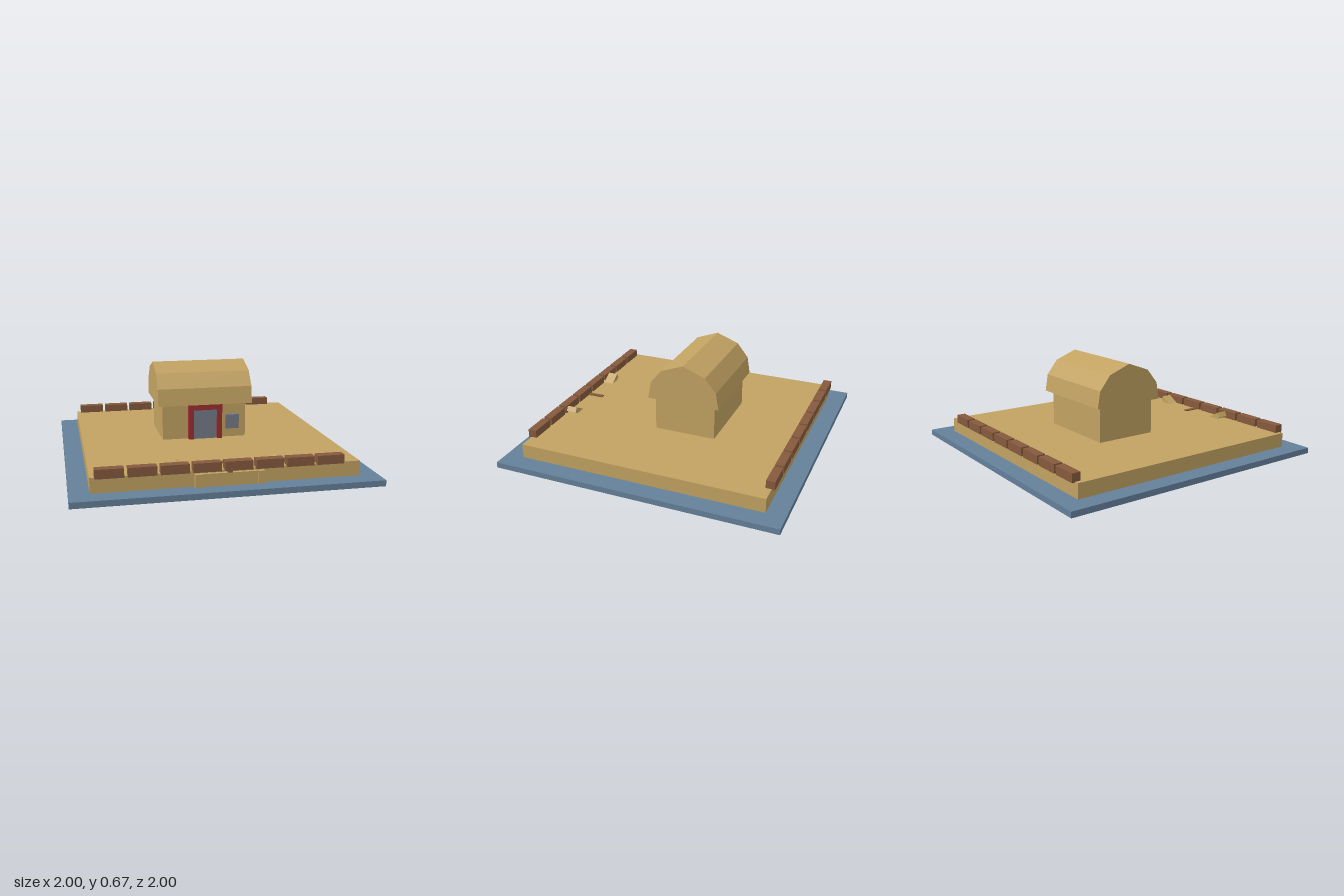
import * as THREE from 'three';

const mat = (name, color) => {
  const m = new THREE.MeshStandardMaterial({ color });
  m.name = name;
  return m;
};

export function createModel() {
  const sand = mat('sandstone', 0xc2a262);
  const water = mat('water blue', 0x64809a);
  const brick = mat('brown brick', 0x855a3d);
  const red = mat('door red', 0x9c3030);
  const slate = mat('slate grey', 0x767b87);
  const model = new THREE.Group();

  const add = (name, geometry, material) => {
    const mesh = new THREE.Mesh(geometry, material);
    mesh.name = name;
    model.add(mesh);
    return mesh;
  };
  // Box given by its minimum and maximum corners
  const box = (name, material, x0, x1, y0, y1, z0, z1) => {
    const mesh = add(name, new THREE.BoxGeometry(x1 - x0, y1 - y0, z1 - z0), material);
    mesh.position.set((x0 + x1) / 2, (y0 + y1) / 2, (z0 + z1) / 2);
    return mesh;
  };

  // Ground
  box('waterBase', water, -1, 1, 0, 0.04, -1, 1);
  box('island', sand, -0.87, 0.87, 0.04, 0.14, -0.87, 0.87);

  // Low broken walls along front and back
  for (const z of [-0.86, 0.86]) {
    for (let i = 0; i < 8; i++) {
      const x = -0.84 + i * 0.202;
      box('wallBlock', brick, x, x + 0.18, 0.135, 0.195, z - 0.03, z + 0.03);
    }
  }

  // House body
  box('houseWalls', sand, -0.305, 0.3, 0.14, 0.39, -0.32, 0.12);

  // Gambrel-like rounded roof, profile as (z, y) extruded along x
  const half = [[0.26, 0.39], [0.24, 0.51], [0.16, 0.61]];
  const profile = [...half, [0, 0.67], ...half.map(([z, y]) => [-z, y]).reverse()];
  const roofShape = new THREE.Shape(profile.map(([z, y]) => new THREE.Vector2(-z, y)));
  const roofGeometry = new THREE.ExtrudeGeometry(roofShape, { depth: 0.68, bevelEnabled: false });
  roofGeometry.rotateY(Math.PI / 2);
  add('roof', roofGeometry, sand).position.set(-0.34, 0, -0.102);

  // Door, frame and window
  for (const s of [-1, 1]) {
    const x = s * 0.1025;
    box('doorPost', red, x - 0.0185, x + 0.0185, 0.14, 0.39, 0.12, 0.157);
  }
  box('doorLintel', red, -0.084, 0.084, 0.352, 0.39, 0.12, 0.157);
  box('door', slate, -0.084, 0.084, 0.14, 0.352, 0.12, 0.143);
  box('window', slate, 0.15, 0.247, 0.205, 0.308, 0.12, 0.145);

  // Landing at the front edge with a post at each end
  box('landingPanel', sand, -0.185, 0.185, 0.04, 0.125, 0.86, 0.893);
  for (const s of [-1, 1]) {
    box('landingPost', sand, s * 0.203 - 0.02, s * 0.203 + 0.02, 0.04, 0.125, 0.86, 0.9);
  }
  box('beam', brick, -0.015, 0.015, 0.125, 0.148, 0.715, 0.895);

  // Tilted slabs half sunk in the ground, high ends outward
  for (const s of [-1, 1]) {
    const slab = add('tiltedSlab', new THREE.BoxGeometry(0.16, 0.04, 0.115), sand);
    slab.position.set(s * 0.266, 0.133, 0.8125);
    slab.rotation.z = s * Math.PI / 6;
  }
  return model;
}
